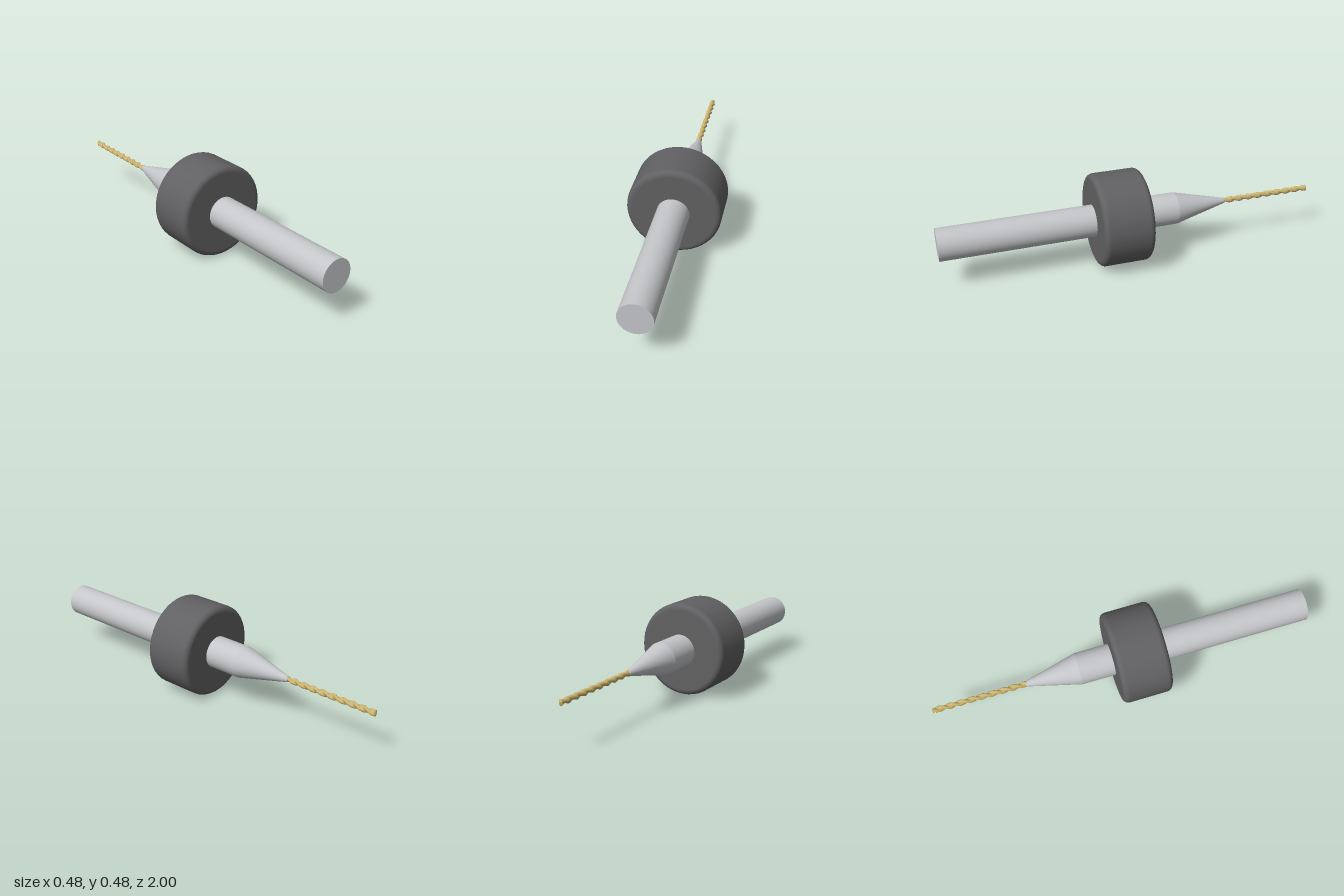
import * as THREE from 'three';

const AXIS_Y = 0.241;

export function createModel() {
  const steel = new THREE.MeshStandardMaterial({ color: 0xc4c6c9 });
  steel.name = 'steel';
  const darkPlastic = new THREE.MeshStandardMaterial({ color: 0x616163 });
  darkPlastic.name = 'darkPlastic';
  const gold = new THREE.MeshStandardMaterial({ color: 0xccb46e });
  gold.name = 'goldCoating';

  const model = new THREE.Group();
  model.name = 'drillBit';

  // Lays a geometry built along y onto the z axis of the tool
  const add = (name, geometry, material, z) => {
    geometry.rotateX(Math.PI / 2);
    const mesh = new THREE.Mesh(geometry, material);
    mesh.name = name;
    mesh.position.set(0, AXIS_Y, z);
    model.add(mesh);
  };

  // Straight shank and tapered neck
  add('shank', new THREE.CylinderGeometry(0.083, 0.083, 1.23, 64), steel, 0.385);
  add('taperedNeck', new THREE.CylinderGeometry(0.083, 0.014, 0.279, 64), steel, -0.3695);

  // Depth collar with rounded rims
  const R = 0.241, half = 0.131, round = 0.028;
  const profile = [new THREE.Vector2(0.06, -half), new THREE.Vector2(R - round - 0.002, -half)];
  for (const side of [-1, 1]) {
    for (let i = 0; i <= 6; i++) {
      const a = (side < 0 ? -1 + i / 6 : i / 6) * Math.PI / 2;
      profile.push(new THREE.Vector2(
        R - round + round * Math.cos(a),
        side * (half - round) + round * Math.sin(a)));
    }
  }
  profile.push(new THREE.Vector2(R - round - 0.002, half), new THREE.Vector2(0.06, half));
  add('depthCollar', new THREE.LatheGeometry(profile, 48), darkPlastic, 0.079);

  // Fluted cutter: a cylinder whose two-lobed section twists along its length
  const length = 0.494, turns = 4.5;
  const cutter = new THREE.CylinderGeometry(1, 1, length, 32, 144);
  const p = cutter.attributes.position;
  for (let i = 0; i < p.count; i++) {
    const x = p.getX(i), y = p.getY(i), z = p.getZ(i);
    if (Math.hypot(x, z) < 0.5) {
      // Shallow drill point at the free end
      if (y < 0) p.setY(i, y - 0.006);
      continue;
    }
    const angle = Math.atan2(z, x);
    const radius = 0.016 - 0.0075 * Math.pow(Math.abs(Math.sin(angle)), 2.5);
    const twisted = angle - (y / length) * turns * Math.PI * 2;
    p.setXYZ(i, radius * Math.cos(twisted), y, radius * Math.sin(twisted));
  }
  cutter.computeVertexNormals();
  add('flutedCutter', cutter, gold, -0.747);

  return model;
}
